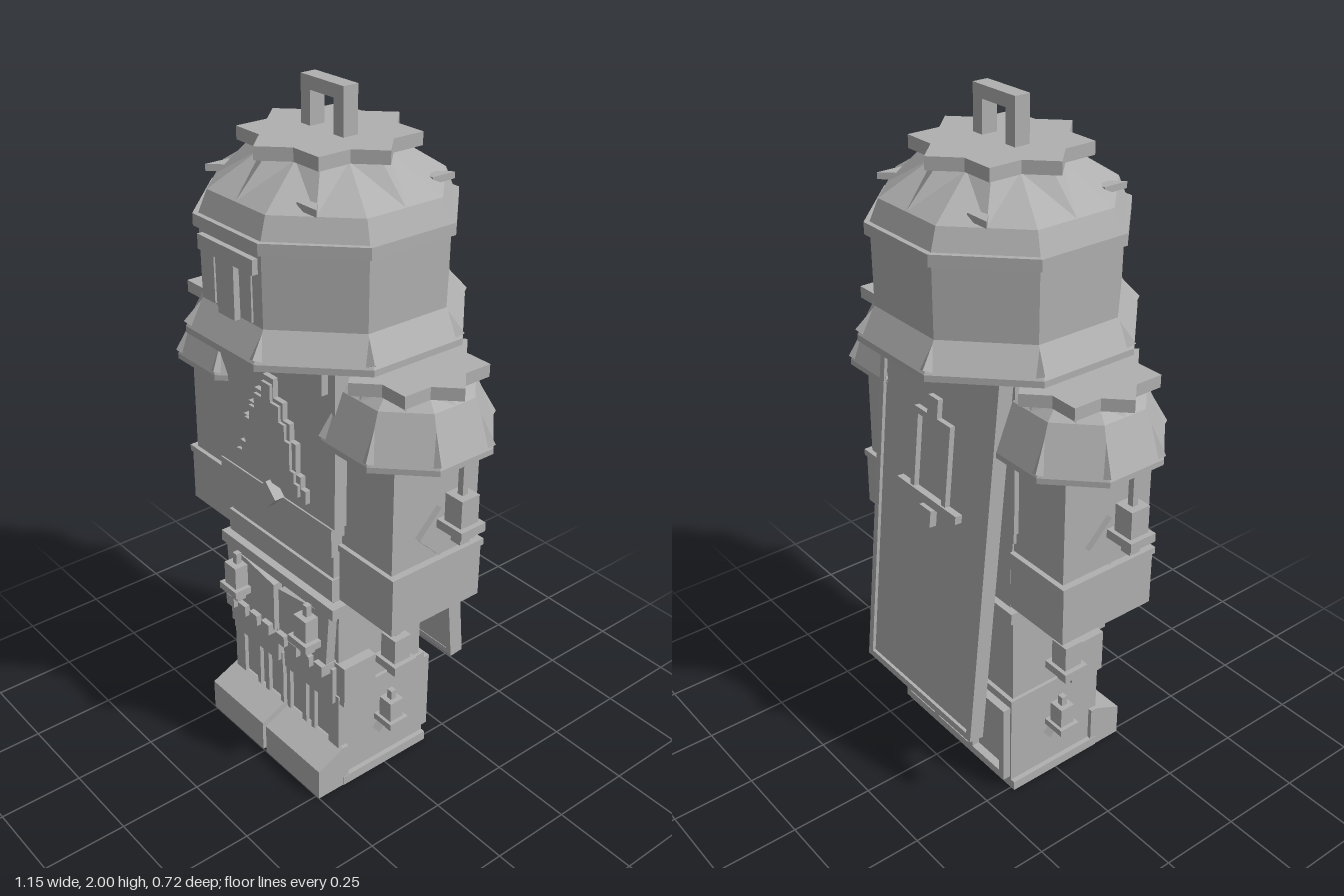
import * as THREE from 'three';

const stone = new THREE.MeshStandardMaterial({ color: 0xb0b0b0 });
stone.name = 'stone grey';

function add(parent, name, geo, x = 0, y = 0, z = 0) {
  const m = new THREE.Mesh(geo, stone);
  m.name = name;
  m.position.set(x, y, z);
  parent.add(m);
  return m;
}

// Box given by its limits on each axis
function block(parent, name, x0, x1, y0, y1, z0, z1) {
  return add(parent, name, new THREE.BoxGeometry(Math.abs(x1 - x0), y1 - y0, z1 - z0),
    (x0 + x1) / 2, (y0 + y1) / 2, (z0 + z1) / 2);
}

// Flat outline pushed along +z
function plate(parent, name, pts, depth, x, y, z) {
  const shape = new THREE.Shape(pts.map(p => new THREE.Vector2(p[0], p[1])));
  return add(parent, name, new THREE.ExtrudeGeometry(shape, { depth, bevelEnabled: false }), x, y, z);
}

// Faceted octagonal solid; rows are [height, face distance, corner scale]
function octagonLoft(rows) {
  const pos = [], n = 16;
  const at = ([y, r, k = 1], i) => {
    const a = i * Math.PI / 8, d = i % 2 ? r * k / Math.cos(Math.PI / 8) : r;
    return [d * Math.sin(a), y, d * Math.cos(a)];
  };
  const first = rows[0], last = rows[rows.length - 1];
  for (let i = 0; i < n; i++) {
    for (let j = 0; j < rows.length - 1; j++) {
      const a = at(rows[j], i), b = at(rows[j], i + 1), c = at(rows[j + 1], i + 1), d = at(rows[j + 1], i);
      if (i % 2) pos.push(...a, ...b, ...d, ...b, ...c, ...d);
      else pos.push(...a, ...b, ...c, ...a, ...c, ...d);
    }
    pos.push(0, first[0], 0, ...at(first, i + 1), ...at(first, i));
    pos.push(0, last[0], 0, ...at(last, i), ...at(last, i + 1));
  }
  const g = new THREE.BufferGeometry();
  g.setAttribute('position', new THREE.Float32BufferAttribute(pos, 3));
  g.computeVertexNormals();
  return g;
}

// Eight pointed star slab made of two crossed squares
function star(parent, name, r, x, y, h) {
  const pts = [];
  for (let i = 0; i < 16; i++) {
    const a = i * Math.PI / 8, d = i % 2 ? r * 0.765 : r;
    pts.push([d * Math.cos(a), d * Math.sin(a)]);
  }
  plate(parent, name, pts, h, x, y, 0).rotation.x = -Math.PI / 2;
}

// Narrow pointed ribs on the eight corners of a flared rim
function cornerRibs(parent, x, y, rBottom, rTop, h, w) {
  for (let i = 0; i < 8; i++) {
    const g = new THREE.Group();
    g.name = 'cornerRib';
    g.position.set(x, y, 0);
    g.rotation.y = Math.PI / 8 + i * Math.PI / 4;
    const c = 1 / Math.cos(Math.PI / 8);
    const rib = add(g, 'rib', new THREE.ConeGeometry(w, h, 4).toNonIndexed(), 0, h / 2, (rBottom + rTop) / 2 * c - w * 0.35);
    rib.geometry.computeVertexNormals();
    rib.rotation.x = -Math.atan2((rBottom - rTop) * c, h);
    parent.add(g);
  }
}

// Hanging bell: rod, body, lip and clapper; y is the top of the body
function bell(parent, x, y, z, rod, s = 1) {
  const g = new THREE.Group();
  g.name = 'hangingBell';
  block(g, 'rod', -0.009, 0.009, 0, rod, -0.009, 0.009);
  block(g, 'bellBody', -0.03 * s, 0.03 * s, -0.085 * s, 0, -0.03 * s, 0.03 * s);
  block(g, 'bellLip', -0.045 * s, 0.045 * s, -0.105 * s, -0.08 * s, -0.042 * s, 0.042 * s);
  block(g, 'clapper', -0.017 * s, 0.017 * s, -0.14 * s, -0.1 * s, -0.017 * s, 0.017 * s);
  g.position.set(x, y, z);
  parent.add(g);
}

function diamond(parent, r, depth, x, y, z) {
  return plate(parent, 'diamond', [[r, 0], [0, r], [-r, 0], [0, -r]], depth, x, y, z);
}

function helmet(parent) {
  const g = new THREE.Group();
  g.name = 'helmet';
  add(g, 'helmetShell', octagonLoft([[1.37, 0.345], [1.372, 0.355], [1.39, 0.355], [1.465, 0.31], [1.66, 0.312],
    [1.66, 0.326], [1.692, 0.326], [1.692, 0.312], [1.75, 0.29], [1.842, 0.2, 0.78]]));
  cornerRibs(g, 0, 1.39, 0.352, 0.312, 0.08, 0.02);
  star(g, 'crownStar', 0.233, 0, 1.84, 0.035);
  // Loop on the crown
  for (const s of [-1, 1]) block(g, 'loopPost', s * 0.046, s * 0.083, 1.86, 2, -0.023, 0.023);
  block(g, 'loopTop', -0.046, 0.046, 1.965, 2, -0.023, 0.023);
  // Small horns on the diagonal dome faces
  for (let i = 0; i < 4; i++) {
    const horn = new THREE.Group();
    horn.name = 'domeHorn';
    horn.rotation.y = i * Math.PI / 2;
    plate(horn, 'horn', [[0.15, 0.15], [0.225, 0.22], [0.15, 0.22]], 0.018, 0, 1.775, 0).rotation.x = Math.PI / 2;
    g.add(horn);
  }
  // Raised visor cross
  block(g, 'visorBrow', -0.115, 0.115, 1.605, 1.645, 0.3, 0.328);
  block(g, 'visorNose', -0.035, 0.035, 1.46, 1.61, 0.3, 0.328);
  for (const s of [-1, 1]) block(g, 'visorCheek', s * 0.065, s * 0.09, 1.47, 1.61, 0.3, 0.316);
  parent.add(g);
}

function torso(parent) {
  const g = new THREE.Group();
  g.name = 'torso';
  block(g, 'collar', -0.23, 0.23, 1.29, 1.39, -0.2, 0.21);
  block(g, 'chest', -0.258, 0.258, 0.9, 1.36, -0.16, 0.19);
  block(g, 'ribs', -0.25, 0.25, 0.865, 0.9, -0.155, 0.195);
  block(g, 'belly', -0.238, 0.238, 0.8, 0.87, -0.15, 0.185);
  block(g, 'waist', -0.232, 0.232, 0.64, 0.8, -0.15, 0.172);
  block(g, 'sash', -0.238, 0.238, 0.655, 0.725, -0.15, 0.182);
  block(g, 'belt', -0.26, 0.26, 0.61, 0.645, -0.17, 0.198);
  // Stepped bell badge with a raised inner layer
  const half = [[0.155, 0.935], [0.155, 0.975], [0.135, 0.975], [0.135, 1.01], [0.115, 1.01], [0.115, 1.1], [0.09, 1.1],
    [0.09, 1.15], [0.062, 1.15], [0.062, 1.2], [0.022, 1.2], [0.022, 1.255]];
  const badge = half.concat(half.map(p => [-p[0], p[1]]).reverse());
  plate(g, 'chestBadge', badge, 0.018, 0, 0, 0.188);
  plate(g, 'chestBadgeInner', badge.map(p => [p[0] * 0.86, 1.09 + (p[1] - 1.09) * 0.9]), 0.01, 0, 0, 0.205);
  diamond(g, 0.042, 0.032, 0, 0.9, 0.19);
  parent.add(g);
}

function arm(parent, s) {
  const g = new THREE.Group();
  g.name = s > 0 ? 'leftArm' : 'rightArm';
  block(g, 'upperArm', s * 0.24, s * 0.44, 0.8, 1.2, -0.145, 0.15);
  block(g, 'forearm', s * 0.24, s * 0.455, 0.655, 0.82, -0.155, 0.158);
  block(g, 'cuffTrim', s * 0.24, s * 0.46, 0.815, 0.835, -0.16, 0.163);
  diamond(g, 0.073, 0.04, s > 0 ? 0.418 : -0.458, 0.92, 0).rotation.y = Math.PI / 2;
  const pauldron = add(g, 'pauldron', octagonLoft([[1.155, 0.21], [1.156, 0.217], [1.172, 0.217], [1.3, 0.165], [1.33, 0.142, 0.9]]));
  pauldron.position.x = s * 0.323;
  cornerRibs(g, s * 0.323, 1.172, 0.214, 0.166, 0.13, 0.018);
  star(g, 'pauldronStar', 0.2, s * 0.32, 1.325, 0.035);
  bell(g, s * 0.53, 1.07, 0, 0.1);
  parent.add(g);
}

function leg(parent, s) {
  const g = new THREE.Group();
  g.name = s > 0 ? 'leftLeg' : 'rightLeg';
  const b = (name, x0, x1, ...r) => block(g, name, s * x0, s * x1, ...r);
  b('thigh', 0.004, 0.24, 0.3, 0.62, -0.147, 0.16);
  b('shin', 0.004, 0.25, 0.02, 0.325, -0.16, 0.155);
  b('sole', 0.004, 0.265, 0, 0.03, -0.16, 0.16);
  // Slanted skirt panel with its bell
  plate(g, 'skirtPanel', [[0.012, 0.58], [0.24, 0.615], [0.225, 0.42], [0.012, 0.42]].map(p => [s * p[0], p[1]]), 0.03, 0, 0, 0.165);
  bell(g, s * 0.165, 0.585, 0.212, 0.035, 0.9);
  // Knee guard with battlements
  b('kneeGuard', 0.015, 0.238, 0.3, 0.42, 0.1, 0.18);
  b('kneeWing', 0.22, 0.272, 0.3, 0.435, 0.05, 0.165);
  for (let i = 0; i < 4; i++) b('battlement', 0.018 + i * 0.058, 0.055 + i * 0.058, 0.405, 0.44, 0.14, 0.212);
  // Raised shin strips
  b('kneeTrim', 0.01, 0.252, 0.285, 0.325, 0.15, 0.17);
  for (const [x0, x1] of [[0.01, 0.024], [0.082, 0.1], [0.125, 0.14], [0.205, 0.25]]) b('shinStrip', x0, x1, 0.1, 0.29, 0.15, 0.168);
  // Toe with sloping top
  const toe = plate(g, 'toe', [[-0.14, 0], [-0.25, 0], [-0.25, 0.1], [-0.16, 0.14], [-0.14, 0.14]], 0.255, s > 0 ? 0.008 : -0.263, 0, 0);
  toe.rotation.y = Math.PI / 2;
  // Calf frame
  b('calfFrameTop', 0, 0.245, 0.275, 0.3, -0.185, -0.155);
  b('calfFrameBottom', 0, 0.245, 0.04, 0.065, -0.185, -0.155);
  for (const x of [0.075, 0.225]) b('calfBar', x, x + 0.02, 0.065, 0.275, -0.185, -0.155);
  // Side bells and ankle diamond
  b('hipBracket', 0.23, 0.31, 0.565, 0.585, -0.02, 0.02);
  bell(g, s * 0.3, 0.5, 0, 0.08, 0.98);
  bell(g, s * 0.288, 0.262, 0, 0.03, 0.8);
  diamond(g, 0.037, 0.035, s > 0 ? 0.245 : -0.28, 0.145, 0).rotation.y = Math.PI / 2;
  parent.add(g);
}

// Leaning back board with raised rim and bell outline
function backBoard(parent) {
  const g = new THREE.Group();
  g.name = 'backBoard';
  block(g, 'board', -0.245, 0.245, -0.545, 0.545, -0.012, 0.022);
  for (const s of [-1, 1]) {
    block(g, 'sideRim', s * 0.235, s * 0.255, -0.55, 0.55, -0.022, 0.024);
    block(g, 'endRim', -0.235, 0.235, s * 0.54 - 0.01, s * 0.54 + 0.01, -0.022, 0.024);
    block(g, 'bellSide', s * 0.062, s * 0.08, 0.12, 0.36, -0.028, 0);
  }
  block(g, 'bellTop', -0.062, 0.062, 0.342, 0.36, -0.028, 0);
  block(g, 'bellKnob', -0.022, 0.022, 0.36, 0.415, -0.028, 0);
  block(g, 'bellBase', -0.135, 0.135, 0.098, 0.122, -0.034, 0);
  block(g, 'bellClapper', -0.026, 0.026, 0.035, 0.085, -0.034, 0);
  g.position.set(0, 0.81, -0.238);
  g.rotation.x = 0.096;
  parent.add(g);
}

export function createModel() {
  const model = new THREE.Group();
  model.name = 'armouredGuardian';
  helmet(model);
  torso(model);
  for (const s of [-1, 1]) {
    arm(model, s);
    leg(model, s);
  }
  backBoard(model);
  return model;
}
